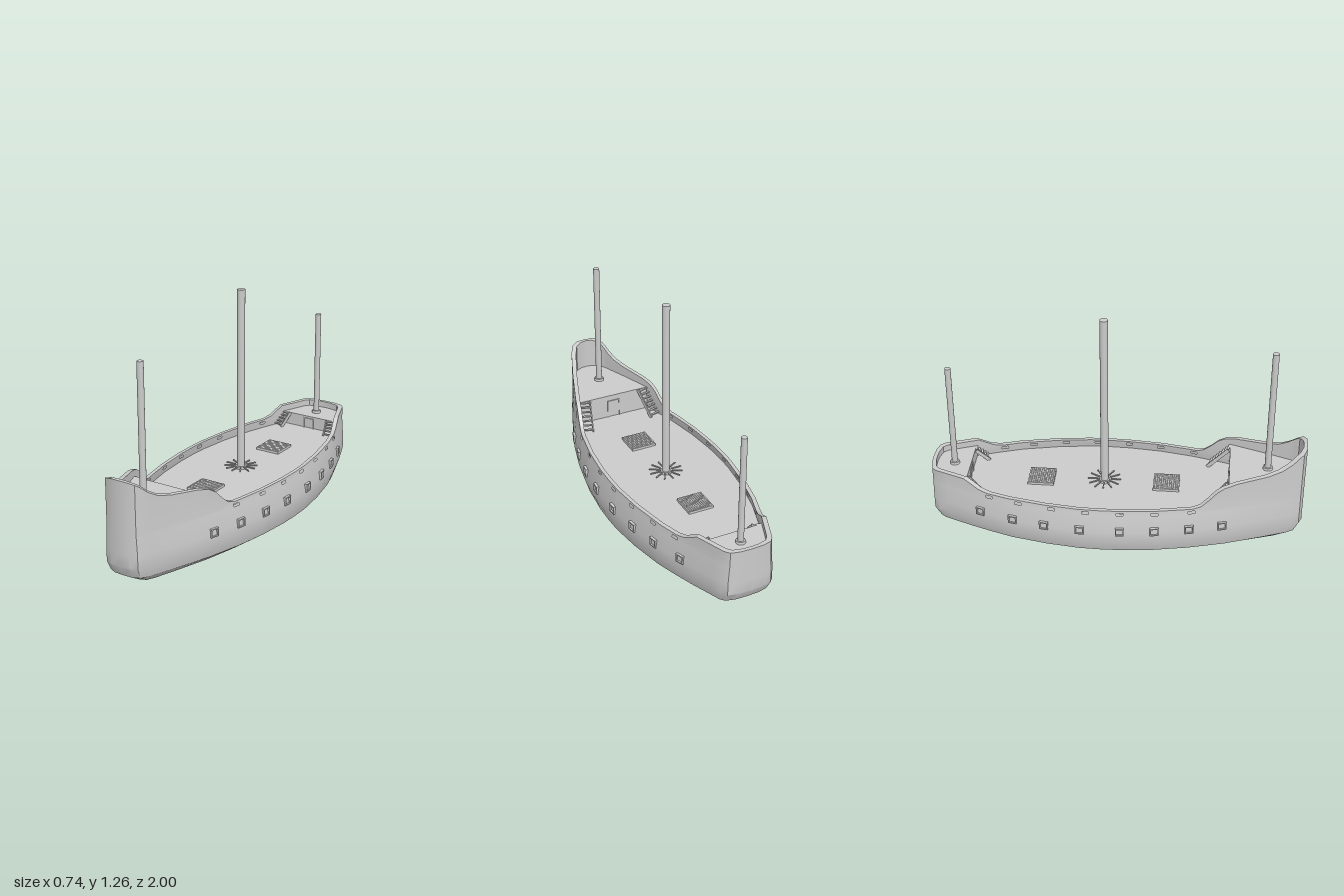
import * as THREE from 'three';
import { toCreasedNormals } from 'three/addons/utils/BufferGeometryUtils.js';

const grey = new THREE.MeshStandardMaterial({ color: 0xcccccc });
const greyBoth = new THREE.MeshStandardMaterial({ color: 0xcccccc, side: THREE.DoubleSide });

// Half-width of the plan and height of the rail, by position along the ship
const PLAN = [[-1, 0], [-0.997, 0.07], [-0.985, 0.12], [-0.96, 0.142], [-0.8, 0.208], [-0.68, 0.252],
  [-0.56, 0.292], [-0.36, 0.335], [-0.18, 0.358], [-0.07, 0.361], [0.04, 0.358], [0.22, 0.34],
  [0.4, 0.305], [0.6, 0.25], [0.8, 0.175], [0.94, 0.118], [0.98, 0.094], [0.997, 0.055], [1, 0]];
const SHEER = [[-1, 0.38], [-0.8, 0.38], [-0.76, 0.358], [-0.72, 0.335], [-0.67, 0.324], [0.42, 0.324],
  [0.46, 0.335], [0.5, 0.37], [0.54, 0.412], [0.58, 0.437], [0.64, 0.453], [0.8, 0.47],
  [0.87, 0.488], [0.92, 0.518], [0.96, 0.553], [1, 0.58]];
const SLOTS = [-0.66, -0.5, -0.32, -0.14, 0.04, 0.22, 0.41];
const PORTS = [-0.71, -0.53, -0.36, -0.17, 0.04, 0.22, 0.4, 0.57];
const MAIN = 0.275, FORE = 0.41, AFT = 0.345;

function lookup(table, z) {
  let i = 1;
  while (i < table.length - 1 && table[i][0] < z) i++;
  const [z0, v0] = table[i - 1], [z1, v1] = table[i];
  return v0 + (v1 - v0) * THREE.MathUtils.clamp((z - z0) / (z1 - z0), 0, 1);
}
const half = z => lookup(PLAN, z);
const sheer = z => lookup(SHEER, z);
// The sides lean inward above the gun ports
const lean = y => 1 - 0.07 * THREE.MathUtils.clamp((y - 0.2) / 0.12, 0, 1);

const stations = [...new Set([...PLAN, ...SHEER].map(p => p[0])
  .concat(SLOTS.flatMap(z => [z - 0.018, z + 0.018]), [-0.9, -0.88]))].sort((a, b) => a - b);

function add(parent, name, geometry, x = 0, y = 0, z = 0, material = grey) {
  const mesh = new THREE.Mesh(geometry, material);
  mesh.name = name;
  mesh.position.set(x, y, z);
  parent.add(mesh);
  return mesh;
}
const box = (w, h, d) => new THREE.BoxGeometry(w, h, d);

// Hull skin: rows from the keel up the outside, over the rail and down the inside
function hullGeometry() {
  const lower = (y, f, bow, stern) => s => [half(s) * f, y, s > 0 ? s * bow : s * stern];
  const outer = y => s => [half(s) * lean(y), y, s];
  const inner = y => s => [Math.max(half(s) * lean(y) - 0.02, 0), y, s * 0.98];
  const rows = [
    lower(0, 0, 0.78, 0.67), lower(0, 0.47, 0.78, 0.67), lower(0.03, 0.76, 0.9, 0.84),
    lower(0.075, 0.95, 0.975, 0.97), lower(0.13, 1, 1, 1),
    outer(0.2), outer(0.298), outer(0.312), s => outer(sheer(s))(s),
    s => inner(sheer(s))(s), inner(0.312), inner(0.298), inner(0.265)];
  const ring = [...stations.map(s => [s, 1]), ...stations.slice(1, -1).reverse().map(s => [s, -1])];
  const n = ring.length, pos = [], index = [];
  for (const row of rows) for (const [s, side] of ring) {
    const [x, y, z] = row(s);
    pos.push(x * side, y, z);
  }
  for (let i = 0; i < rows.length - 1; i++) for (let j = 0; j < n; j++) {
    const k = (j + 1) % n, mid = (ring[j][0] + ring[k][0]) / 2;
    // Drain slots are left open in both skins
    if ((i === 6 || i === 10) && SLOTS.some(z => Math.abs(z - mid) < 0.018)) continue;
    const a = i * n + j, b = i * n + k, c = a + n, d = b + n;
    index.push(a, c, b, b, c, d);
  }
  const g = new THREE.BufferGeometry();
  g.setAttribute('position', new THREE.Float32BufferAttribute(pos, 3));
  g.setIndex(index);
  return toCreasedNormals(g, 0.5);
}

// Flat deck filling the plan between two stations
function deckGeometry(z0, z1) {
  const zs = [z0, ...stations.filter(s => s > z0 && s < z1), z1];
  const pts = zs.map(s => new THREE.Vector2(Math.max(half(s) * 0.93 - 0.01, 0), -s * 0.985));
  const other = pts.map(p => new THREE.Vector2(-p.x, p.y)).reverse();
  return new THREE.ShapeGeometry(new THREE.Shape([...pts, ...other])).rotateX(-Math.PI / 2);
}

// Stair rising toward +z from the origin
function stair(name, width, rise, run, steps) {
  const g = new THREE.Group();
  g.name = name;
  for (let i = 0; i < steps; i++)
    add(g, 'tread', box(width, 0.006, run / steps * 0.75), 0, rise * (i + 0.7) / steps, run * (i + 0.5) / steps);
  for (const side of [-1, 1]) {
    const stringer = add(g, 'stringer', box(0.006, 0.02, Math.hypot(rise, run)), side * width / 2, rise / 2, run / 2);
    stringer.rotation.x = -Math.atan2(rise, run);
  }
  return g;
}

function mast(parent, name, z, deck, top, r) {
  const g = new THREE.Group();
  g.name = name;
  g.position.z = z;
  add(g, 'pole', new THREE.CylinderGeometry(r, r, top - deck, 20), 0, (top + deck) / 2, 0);
  add(g, 'collar', new THREE.CylinderGeometry(r + 0.008, r + 0.01, 0.014, 20), 0, deck + 0.007, 0);
  parent.add(g);
}

function grating(parent, z) {
  const g = new THREE.Group(), size = 0.14, bars = 13;
  g.name = 'hatchGrating';
  g.position.set(0, MAIN + 0.008, z);
  for (let i = 0; i < bars; i++) {
    const p = (i / (bars - 1) - 0.5) * (size - 0.006);
    add(g, 'bar', box(0.006, 0.014, size), p, 0, 0);
    add(g, 'crossbar', box(size, 0.013, 0.006), 0, 0, p);
  }
  parent.add(g);
}

function portGeometry() {
  const square = (C, r) => new C([[-r, -r], [r, -r], [r, r], [-r, r]].map(p => new THREE.Vector2(...p)));
  const s = square(THREE.Shape, 0.023);
  s.holes.push(square(THREE.Path, 0.017));
  return new THREE.ExtrudeGeometry(s, { depth: 0.014, bevelEnabled: false });
}

export function createModel() {
  const ship = new THREE.Group();
  ship.name = 'sailingShip';
  add(ship, 'hull', hullGeometry(), 0, 0, 0, greyBoth);

  // Decks and the bulkheads between them
  add(ship, 'mainDeck', deckGeometry(-0.82, 0.62), 0, MAIN, 0, greyBoth);
  add(ship, 'foreDeck', deckGeometry(0.61, 1), 0, FORE, 0, greyBoth);
  add(ship, 'aftDeck', deckGeometry(-1, -0.81), 0, AFT, 0, greyBoth);
  add(ship, 'foreBulkhead', box(0.45, FORE - MAIN, 0.01), 0, (FORE + MAIN) / 2, 0.603);
  add(ship, 'aftBulkhead', box(0.375, AFT - MAIN, 0.01), 0, (AFT + MAIN) / 2, -0.802);

  // Door frames on the bulkheads
  for (const [z, h, w] of [[0.597, 0.1, 0.07], [-0.796, 0.055, 0.06]]) {
    for (const side of [-1, 1]) add(ship, 'doorPost', box(0.006, h, 0.008), side * w / 2, MAIN + h / 2, z);
    add(ship, 'doorLintel', box(w + 0.006, 0.006, 0.008), 0, MAIN + h, z);
  }

  // Stairs follow the slant of the sides
  for (const side of [-1, 1]) {
    const fore = stair('foreStair', 0.068, FORE - MAIN, 0.115, 7);
    fore.position.set(side * 0.213, MAIN, 0.488);
    fore.rotation.y = -side * 0.27;
    ship.add(fore);
    const aft = stair('aftStair', 0.068, AFT - MAIN, 0.072, 5);
    aft.position.set(side * 0.172, MAIN, -0.73);
    aft.rotation.y = Math.PI + side * 0.25;
    ship.add(aft);
  }

  mast(ship, 'mainMast', -0.07, MAIN, 1.265, 0.021);
  mast(ship, 'foreMast', 0.8, FORE, 1.113, 0.017);
  mast(ship, 'aftMast', -0.885, AFT, 0.94, 0.016);

  // Ring of bars around the main mast
  for (let i = 0; i < 12; i++) {
    const a = i * Math.PI / 6;
    const bar = add(ship, 'mastBar', box(0.055, 0.006, 0.006),
      Math.cos(a) * 0.062, MAIN + 0.014, -0.07 + Math.sin(a) * 0.062);
    bar.rotation.y = -a;
  }

  grating(ship, -0.41);
  grating(ship, 0.265);

  // Gun ports turned to lie on the hull sides
  const port = portGeometry();
  for (const z of PORTS) for (const side of [-1, 1]) {
    const slope = (half(z + 0.03) - half(z - 0.03)) / 0.06;
    const frame = add(ship, 'gunPort', port, side * (half(z) - 0.006), 0.209, z);
    frame.rotation.y = side * (Math.PI / 2 + Math.atan(slope)) - side * 2 * Math.atan(slope);
    if (slope) frame.rotation.y = Math.atan2(side, -slope);
  }
  return ship;
}
